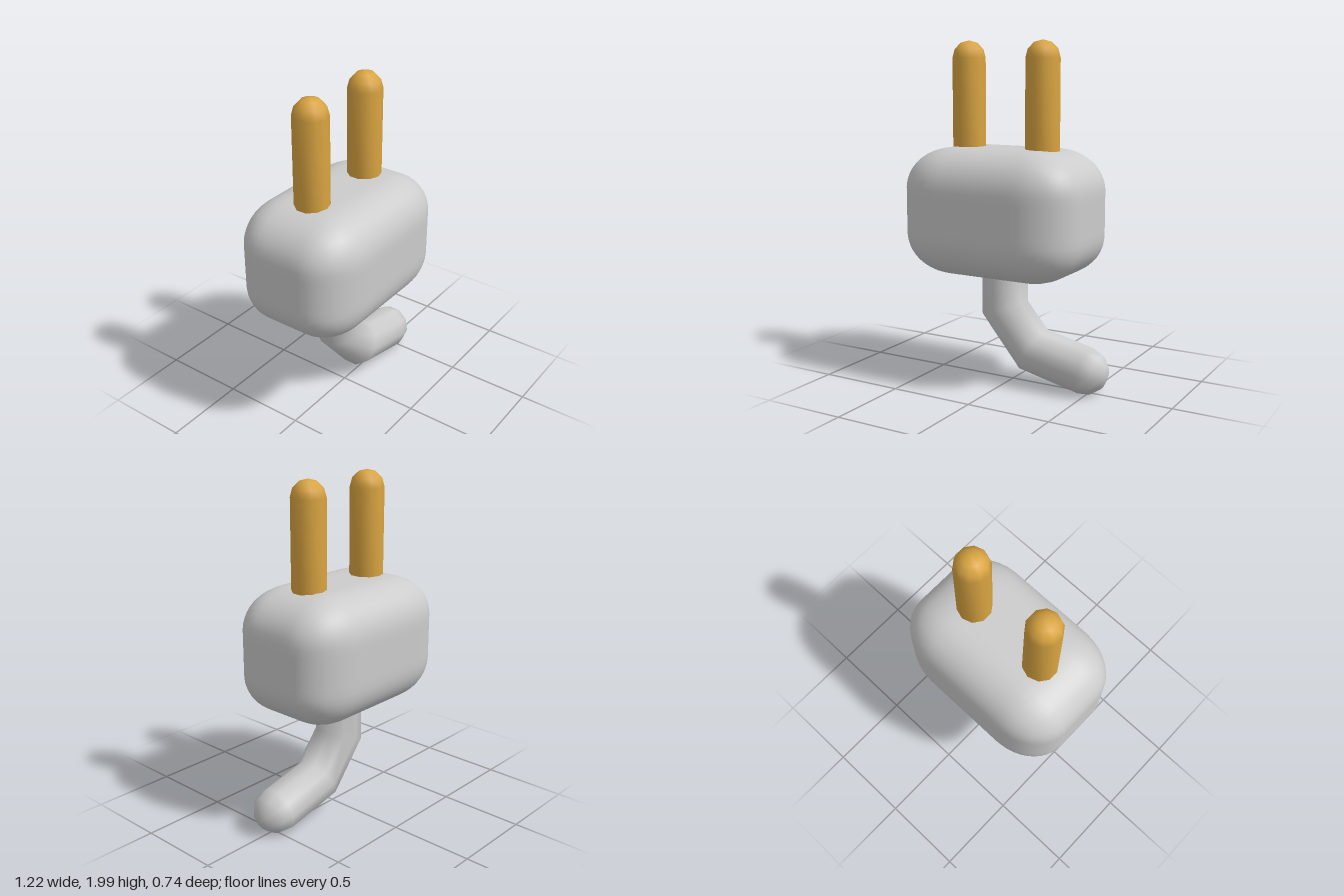
import * as THREE from 'three';
import { mergeVertices } from 'three/addons/utils/BufferGeometryUtils.js';

const SIDES = 10;

// Box whose edges and corners are rounded by an ellipsoid of the given radii
function softBox(half, radii) {
  let g = new THREE.BoxGeometry(half.x * 2, half.y * 2, half.z * 2, 20, 16, 16);
  g.deleteAttribute('normal');
  g.deleteAttribute('uv');
  const core = half.clone().sub(radii);
  const pos = g.attributes.position;
  const p = new THREE.Vector3(), c = new THREE.Vector3();
  for (let i = 0; i < pos.count; i++) {
    p.fromBufferAttribute(pos, i);
    c.copy(p).clamp(core.clone().negate(), core);
    p.sub(c).divide(radii).normalize().multiply(radii).add(c);
    pos.setXYZ(i, p.x, p.y, p.z);
  }
  g = mergeVertices(g);
  g.computeVertexNormals();
  return g;
}

// Rod along a bent path in the xy plane, mitred at bends, domed at its far end
function domedRod(path, radius) {
  const pts = path.map(([x, y]) => new THREE.Vector2(x, y));
  const dirs = pts.slice(1).map((p, i) => p.clone().sub(pts[i]).normalize());
  const verts = [], index = [];
  let rings = 0;
  const addRing = (c, across, r) => {
    for (let j = 0; j < SIDES; j++) {
      const a = Math.PI / 2 + (j / SIDES) * Math.PI * 2;
      const n = Math.cos(a) * r;
      verts.push(c.x + across.x * n, c.y + across.y * n, Math.sin(a) * r);
    }
    rings++;
  };
  pts.forEach((p, i) => {
    const before = dirs[Math.max(i - 1, 0)];
    const after = dirs[Math.min(i, dirs.length - 1)];
    const t = before.clone().add(after).normalize();
    addRing(p, new THREE.Vector2(-t.y, t.x).divideScalar(t.dot(after)), radius);
  });
  // dome
  const end = pts[pts.length - 1], t = dirs[dirs.length - 1];
  for (const deg of [30, 60]) {
    const a = THREE.MathUtils.degToRad(deg);
    const c = end.clone().addScaledVector(t, Math.sin(a) * radius);
    addRing(c, new THREE.Vector2(-t.y, t.x), Math.cos(a) * radius);
  }
  const tip = end.clone().addScaledVector(t, radius);
  verts.push(tip.x, tip.y, 0);
  for (let i = 0; i < rings; i++) {
    for (let j = 0; j < SIDES; j++) {
      const k = (j + 1) % SIDES;
      const a = i * SIDES + j, b = i * SIDES + k;
      if (i === rings - 1) index.push(a, b, rings * SIDES);
      else index.push(a, b, a + SIDES, b, b + SIDES, a + SIDES);
    }
  }
  const g = new THREE.BufferGeometry();
  g.setAttribute('position', new THREE.Float32BufferAttribute(verts, 3));
  g.setIndex(index);
  g.computeVertexNormals();
  return g;
}

export function createModel() {
  const group = new THREE.Group();
  const grey = new THREE.MeshStandardMaterial({ color: 0xcccccc });
  const brass = new THREE.MeshStandardMaterial({ color: 0xd9a441 });
  const add = (name, geometry, material) => {
    const mesh = new THREE.Mesh(geometry, material);
    mesh.name = name;
    group.add(mesh);
    return mesh;
  };

  // Plug body
  const body = add('plugBody', softBox(
    new THREE.Vector3(0.56, 0.372, 0.372),
    new THREE.Vector3(0.3, 0.24, 0.24)), grey);
  body.position.set(-0.055, 1.017, 0);

  // Two contact pins
  add('rightPin', domedRod([[-0.296, 1.3], [-0.296, 1.9]], 0.1), brass);
  add('leftPin', domedRod([[0.191, 1.3], [0.191, 1.9]], 0.1), brass);

  // Bent cable stub
  add('cable', domedRod(
    [[-0.055, 0.75], [-0.055, 0.44], [0.137, 0.21], [0.475, 0.135]], 0.137), grey);

  return group;
}
